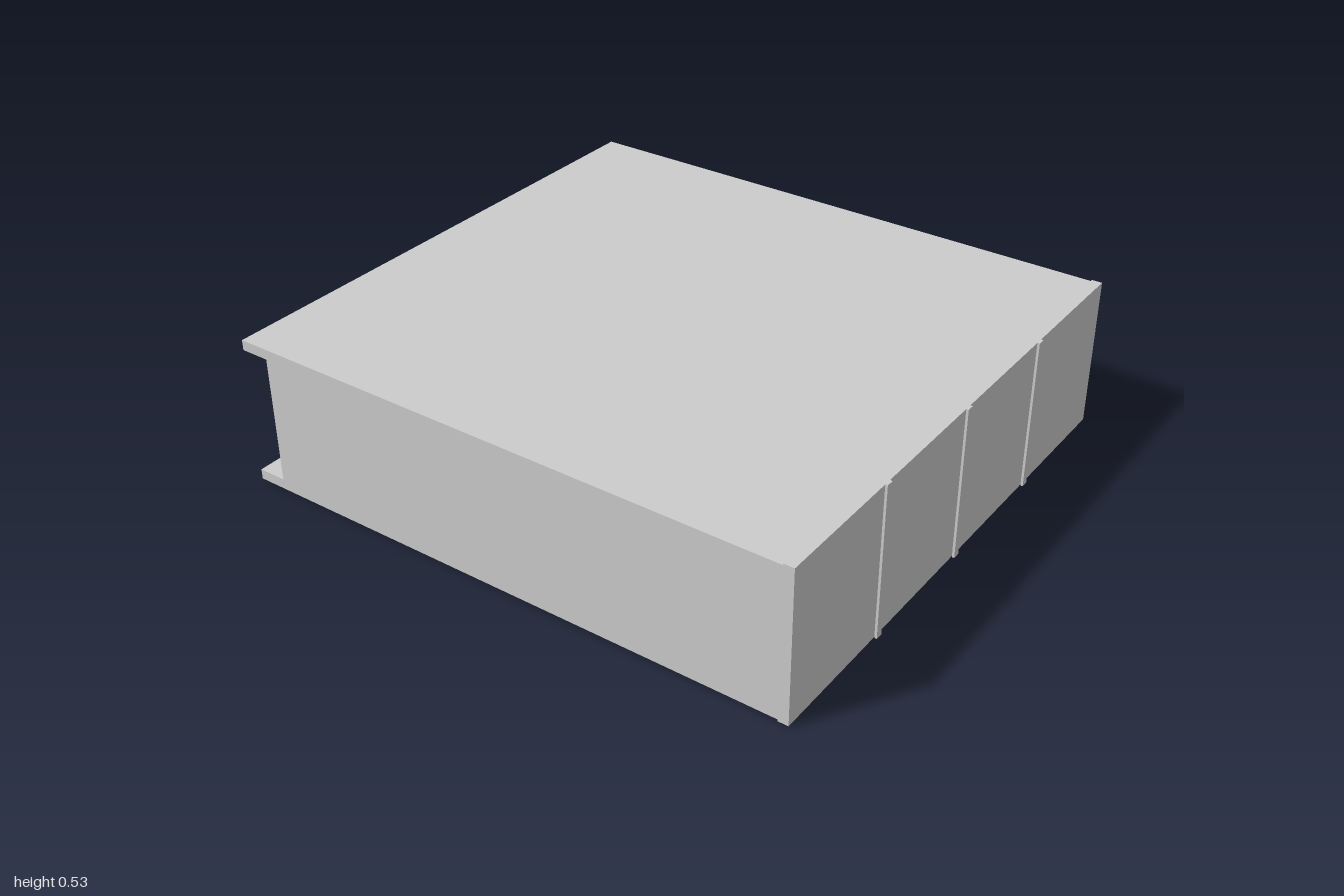
import * as THREE from 'three';

export function createModel() {
  const group = new THREE.Group();
  const material = new THREE.MeshStandardMaterial({ color: 0xcccccc, flatShading: true });
  const half = 0.928;

  // Box given by its extents on each axis
  const slab = (name, [x0, x1], [y0, y1], [z0, z1]) => {
    const mesh = new THREE.Mesh(new THREE.BoxGeometry(x1 - x0, y1 - y0, z1 - z0), material);
    mesh.position.set((x0 + x1) / 2, (y0 + y1) / 2, (z0 + z1) / 2);
    mesh.name = name;
    group.add(mesh);
  };

  const width = [-half, half];

  // Cabinet body, set in from the back, between overhanging top and bottom boards
  slab('body', width, [0.045, 0.485], [-0.9, 0.957]);
  slab('topBoard', width, [0.485, 0.52], [-1, 0.957]);
  slab('bottomBoard', width, [0.01, 0.045], [-1, 0.957]);

  // Front panel, slightly taller than the body
  slab('frontPanel', width, [0.004, 0.525], [0.957, 0.992]);

  // Narrow strips dividing the front into four fields
  for (const i of [-1, 0, 1]) {
    const x = (i * half) / 2;
    slab('dividerStrip', [x - 0.013, x + 0.013], [0, 0.525], [0.992, 1]);
  }

  return group;
}
